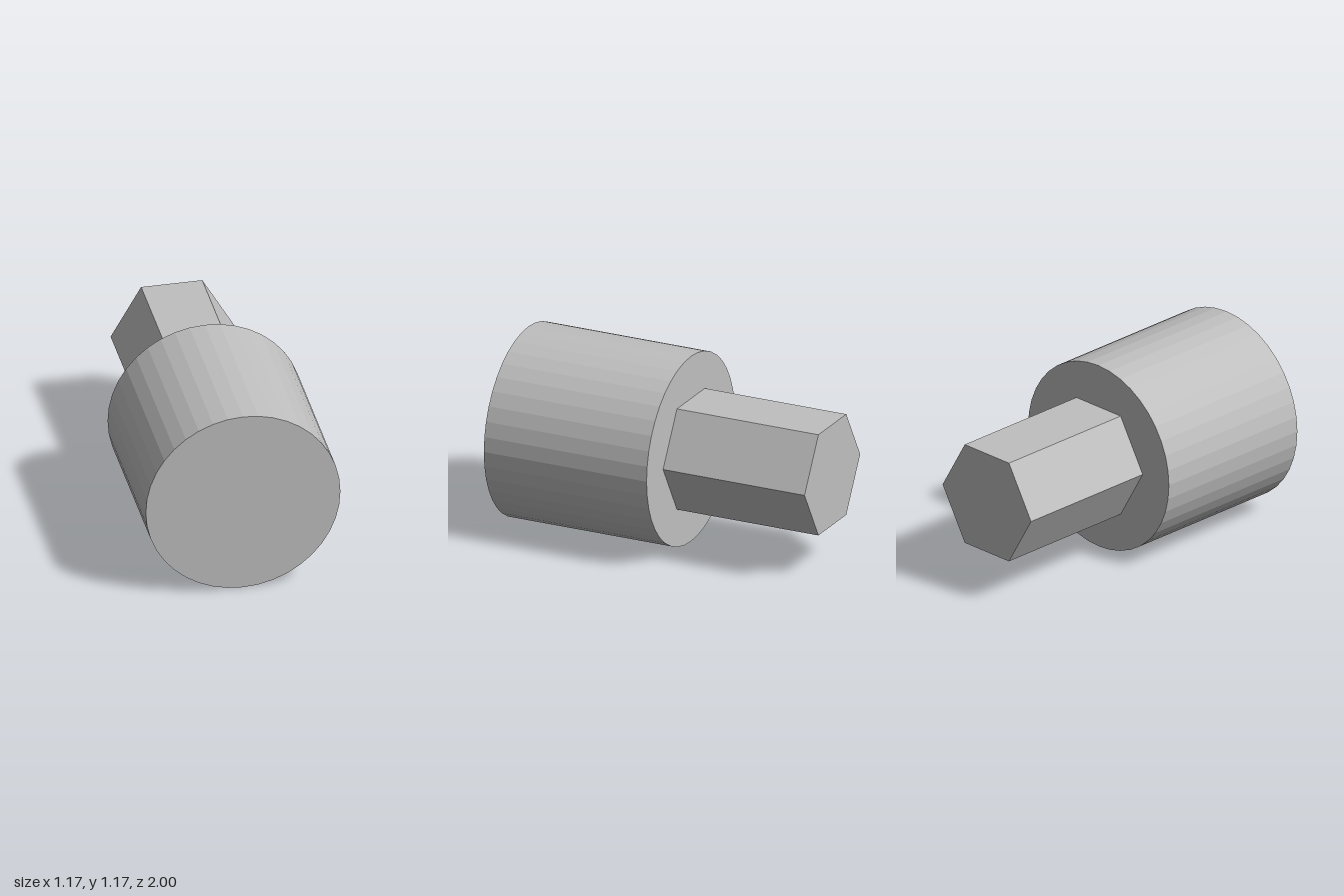
import * as THREE from 'three';

// Prism lying along z, from zBack to zFront
function prism(name, radius, sides, zBack, zFront, thetaStart, material) {
  const geometry = new THREE.CylinderGeometry(radius, radius, zFront - zBack, sides, 1, false, thetaStart);
  geometry.rotateX(Math.PI / 2);
  const mesh = new THREE.Mesh(geometry, material);
  mesh.name = name;
  mesh.position.set(0, 0.586, (zBack + zFront) / 2);
  return mesh;
}

export function createModel() {
  const grey = new THREE.MeshStandardMaterial({ color: 0xbfbfbf, flatShading: true });
  grey.name = 'grey';

  const model = new THREE.Group();
  model.name = 'hexShankPlug';
  // Round faceted body at the front
  model.add(prism('body', 0.586, 40, -0.07, 1, 0, grey));
  // Hexagonal shank at the back, flats up and down
  model.add(prism('hexShank', 0.368, 6, -1, -0.07, Math.PI / 6, grey));
  return model;
}
